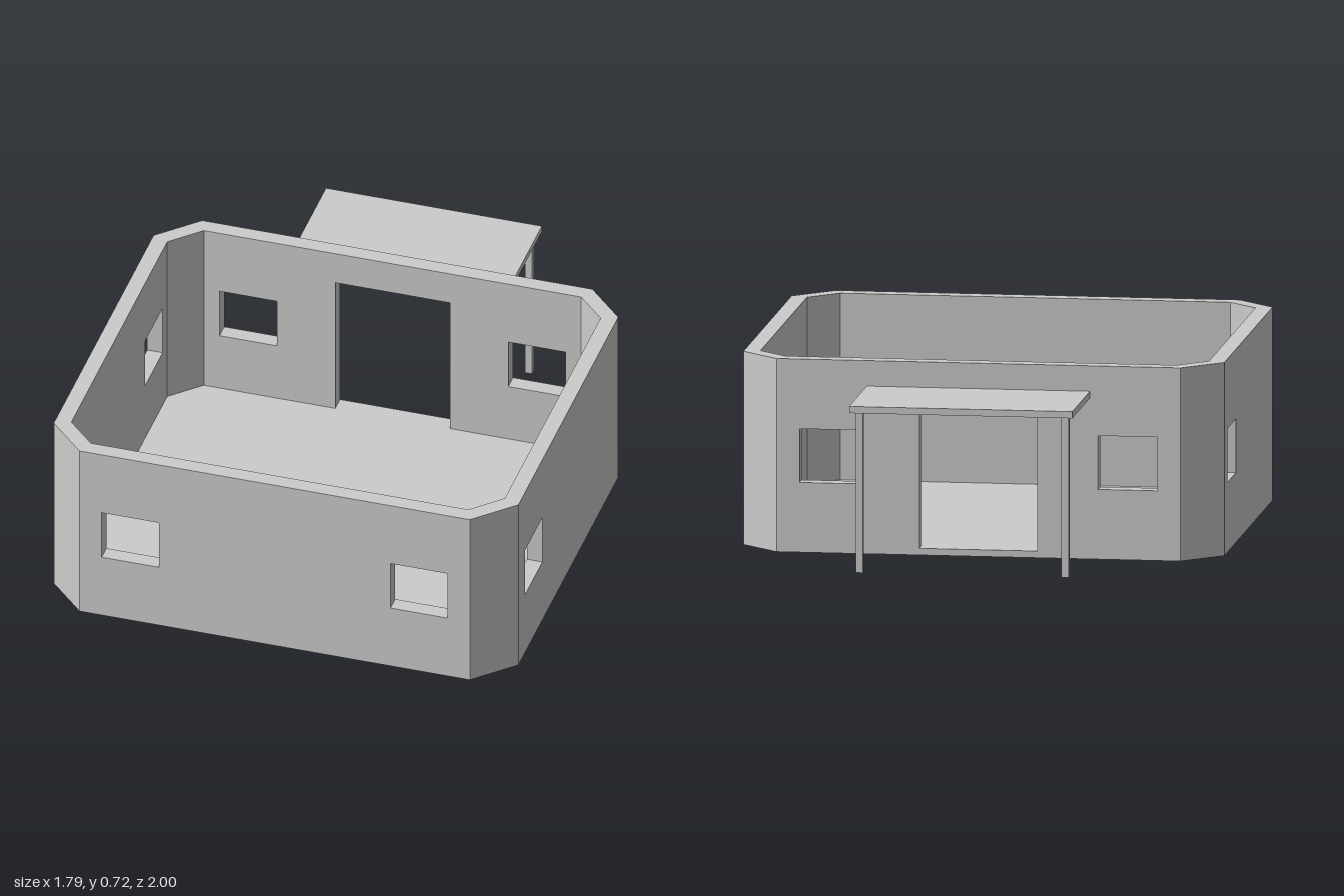
import * as THREE from 'three';

const HEIGHT = 0.72;
const FLOOR = 0.025;
const THICK = 0.06;

// outer corners of the octagonal plan as [x, z], starting with the front wall
const PLAN = [
  [-0.75, 1], [0.75, 1], [0.893, 0.857], [0.893, -0.397],
  [0.75, -0.54], [-0.75, -0.54], [-0.893, -0.397], [-0.893, 0.857],
];

// square window hole, given by its start along the wall
function windowHole(s) {
  const w = 0.22, y0 = 0.26, y1 = 0.46;
  return new THREE.Path([
    new THREE.Vector2(s, y0), new THREE.Vector2(s, y1),
    new THREE.Vector2(s + w, y1), new THREE.Vector2(s + w, y0),
  ]);
}

// wall panel between two plan corners, mitred at both ends
function makeWall(a, b, material, { name, windows = [], door }) {
  const dx = b[0] - a[0], dz = b[1] - a[1];
  const length = Math.hypot(dx, dz);
  const shape = new THREE.Shape();
  shape.moveTo(0, FLOOR);
  if (door) {
    shape.lineTo(door.start, FLOOR);
    shape.lineTo(door.start, door.top);
    shape.lineTo(door.end, door.top);
    shape.lineTo(door.end, FLOOR);
  }
  shape.lineTo(length, FLOOR);
  shape.lineTo(length, HEIGHT);
  shape.lineTo(0, HEIGHT);
  shape.closePath();
  shape.holes = windows.map(windowHole);

  const geometry = new THREE.ExtrudeGeometry(shape, { depth: THICK, bevelEnabled: false });
  geometry.translate(0, 0, -THICK);
  // shorten the inner face so that neighbouring panels meet
  const mitre = THICK * Math.tan(Math.PI / 8);
  const pos = geometry.attributes.position;
  for (let i = 0; i < pos.count; i++) {
    if (pos.getZ(i) > -THICK / 2) continue;
    const x = pos.getX(i);
    if (x < 1e-4) pos.setX(i, mitre);
    else if (x > length - 1e-4) pos.setX(i, length - mitre);
  }
  geometry.computeVertexNormals();

  const mesh = new THREE.Mesh(geometry, material);
  mesh.name = name;
  mesh.position.set(a[0], 0, a[1]);
  mesh.rotation.y = Math.atan2(-dz, dx);
  return mesh;
}

function makeBox(name, size, position, material) {
  const mesh = new THREE.Mesh(new THREE.BoxGeometry(...size), material);
  mesh.name = name;
  mesh.position.set(...position);
  return mesh;
}

export function createModel() {
  const model = new THREE.Group();
  model.name = 'house';
  const grey = new THREE.MeshStandardMaterial({ color: 0xcccccc });
  grey.name = 'plain grey';

  // floor slab
  const outline = new THREE.Shape(PLAN.map(([x, z]) => new THREE.Vector2(x, -z)));
  const floorGeometry = new THREE.ExtrudeGeometry(outline, { depth: FLOOR, bevelEnabled: false });
  floorGeometry.rotateX(-Math.PI / 2);
  const floor = new THREE.Mesh(floorGeometry, grey);
  floor.name = 'floor';
  model.add(floor);

  // walls and chamfered corners, in plan order
  const walls = [
    { name: 'frontWall', windows: [0.085, 1.195] },
    { name: 'frontLeftCorner' },
    { name: 'leftWall', windows: [0.082] },
    { name: 'backLeftCorner' },
    { name: 'backWall', windows: [0.085, 1.195], door: { start: 0.53, end: 0.97, top: 0.59 } },
    { name: 'backRightCorner' },
    { name: 'rightWall', windows: [0.082] },
    { name: 'frontRightCorner' },
  ];
  walls.forEach((spec, i) => {
    model.add(makeWall(PLAN[i], PLAN[(i + 1) % PLAN.length], grey, spec));
  });

  // porch behind the back wall
  const porch = new THREE.Group();
  porch.name = 'porch';
  porch.add(makeBox('porchRoof', [0.83, 0.025, 0.46], [0, 0.6125, -0.77], grey));
  for (const side of [-1, 1]) {
    const name = side > 0 ? 'leftPost' : 'rightPost';
    porch.add(makeBox(name, [0.027, 0.6, 0.027], [side * 0.383, 0.3, -0.95], grey));
  }
  model.add(porch);

  return model;
}
